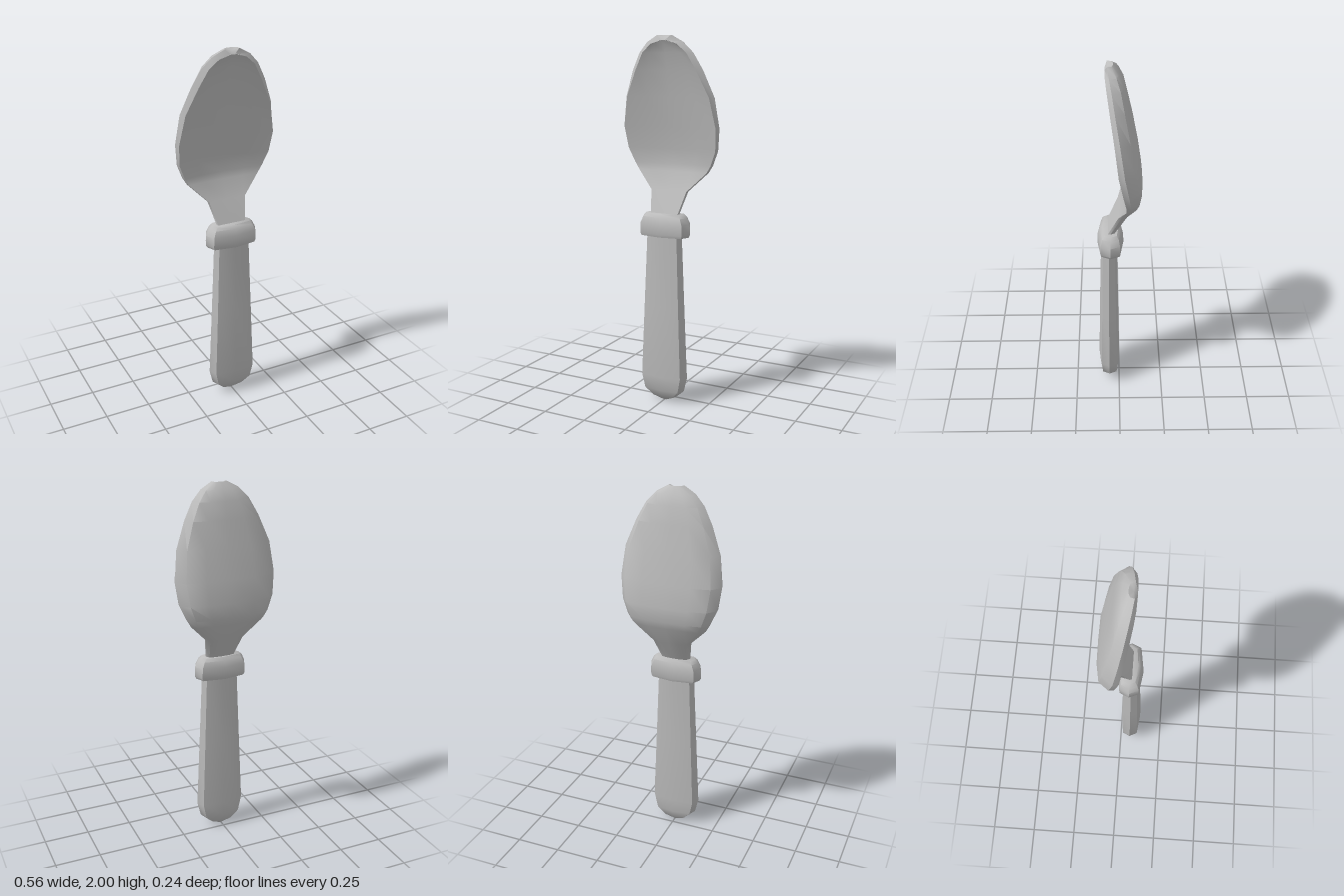
import * as THREE from 'three';
import { toCreasedNormals } from 'three/addons/utils/BufferGeometryUtils.js';

const metal = new THREE.MeshStandardMaterial({ color: 0xbcbcbc });

// Skins a stack of rings (each running from +x round by +z), closed by fans at both ends.
function loft(name, rings, crease = 0.75) {
  const n = rings[0].length;
  const pos = rings.flat(2);
  const index = [];
  for (let i = 0; i < rings.length - 1; i++) {
    for (let j = 0; j < n; j++) {
      const a = i * n + j, b = i * n + (j + 1) % n;
      index.push(a, a + n, b + n, a, b + n, b);
    }
  }
  for (const end of [0, rings.length - 1]) {
    const ring = rings[end], c = pos.length / 3;
    for (let k = 0; k < 3; k++) pos.push(ring.reduce((s, p) => s + p[k], 0) / n);
    for (let j = 0; j < n; j++) {
      const a = end * n + j, b = end * n + (j + 1) % n;
      index.push(c, ...(end ? [b, a] : [a, b]));
    }
  }
  const g = new THREE.BufferGeometry();
  g.setAttribute('position', new THREE.Float32BufferAttribute(pos, 3));
  g.setIndex(index);
  const mesh = new THREE.Mesh(toCreasedNormals(g, crease), metal);
  mesh.name = name;
  return mesh;
}

// Eight-point flattened section: side points, chamfers and a slight ridge front and back.
function gripRing([y, w, d, z]) {
  const half = [[1, 0], [0.84, 0.74], [0, 1], [-0.84, 0.74]];
  return [...half, ...half.map(([a, b]) => [-a, -b])].map(([a, b]) => [a * w, y, z + b * d]);
}

// Section of neck and bowl: rim edge, hollow front, rounded back. The front may sit lower by drop.
function bowlRing([y, w, rim, floor, back, drop = 0]) {
  const edge = rim + (back - rim) * 0.3;
  const inner = w - THREE.MathUtils.clamp((y - 1.4) * 0.07, 0.004, 0.03);
  const mid = rim + (floor - rim) * 0.75;
  const shoulder = edge + (back - edge) * 0.75;
  const f = y - drop;
  return [
    [w, y, edge], [inner, f, rim], [w * 0.55, f, mid], [0, f, floor],
    [-w * 0.55, f, mid], [-inner, f, rim], [-w, y, edge],
    [-w * 0.85, y, shoulder], [-w * 0.48, y, back], [0, y, back - 0.002],
    [w * 0.48, y, back], [w * 0.85, y, shoulder],
  ];
}

export function createModel() {
  const group = new THREE.Group();
  group.name = 'spoon';

  // Handle: tapers upward, rounded at the butt: [y, half width, half depth, z]
  group.add(loft('handle', [
    [0.0, 0.012, 0.01, 0.047], [0.025, 0.07, 0.036, 0.05], [0.07, 0.12, 0.054, 0.056],
    [0.15, 0.14, 0.059, 0.058], [0.55, 0.122, 0.052, 0.057], [0.96, 0.104, 0.043, 0.055],
  ].map(gripRing)));

  // Collar: a rounded band with a flat top that receives the neck
  group.add(loft('collar', [
    [0.94, 0.14, 0.066, 0.047], [0.955, 0.149, 0.071, 0.047], [1.01, 0.147, 0.07, 0.047],
    [1.045, 0.13, 0.059, 0.046], [1.062, 0.112, 0.044, 0.045],
  ].map(gripRing), 0.85));

  // Neck and bowl: [y, half width, rim z, hollow z, back z, front drop]
  group.add(loft('bowl', [
    [1.03, 0.082, 0.073, 0.073, 0.032], [1.06, 0.084, 0.06, 0.06, 0.017],
    [1.18, 0.11, 0.005, 0.003, -0.052], [1.28, 0.208, -0.037, -0.045, -0.1],
    [1.32, 0.232, -0.035, -0.053, -0.116], [1.4, 0.265, -0.02, -0.05, -0.118],
    [1.52, 0.281, 0.004, -0.028, -0.1], [1.68, 0.262, 0.024, -0.004, -0.071],
    [1.82, 0.207, 0.046, 0.023, -0.042], [1.91, 0.158, 0.06, 0.045, -0.023],
    [1.965, 0.105, 0.068, 0.06, 0.0, 0.01], [2.0, 0.04, 0.07, 0.07, 0.03, 0.027],
  ].map(bowlRing)));

  return group;
}
